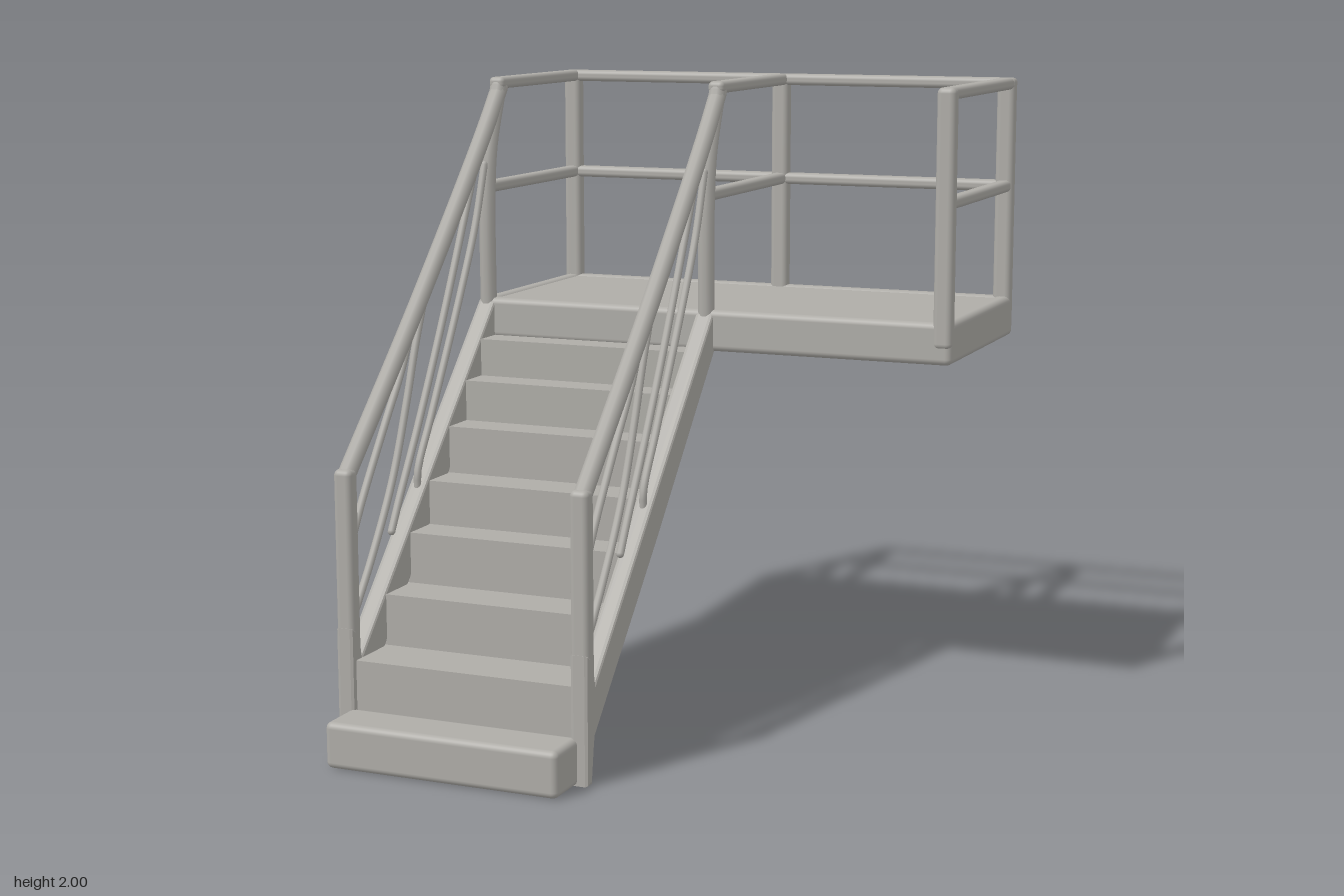
import * as THREE from 'three';
import { RoundedBoxGeometry } from 'three/addons/geometries/RoundedBoxGeometry.js';

export function createModel() {
  const model = new THREE.Group();
  model.name = 'stairsWithLanding';
  const metal = new THREE.MeshStandardMaterial({ color: 0xaeaca7 });
  metal.name = 'warm grey';

  const add = (name, geometry) => {
    const mesh = new THREE.Mesh(geometry, metal);
    mesh.name = name;
    model.add(mesh);
    return mesh;
  };
  // Soft-edged box given by its extents
  const box = (name, x0, x1, y0, y1, z0, z1, r = 0.015) => {
    const g = new RoundedBoxGeometry(x1 - x0, y1 - y0, z1 - z0, 3, r);
    add(name, g).position.set((x0 + x1) / 2, (y0 + y1) / 2, (z0 + z1) / 2);
  };
  // Side profile of [z, y] points, extruded from x0 to x1
  const sideExtrude = (name, points, x0, x1, bevel) => {
    const shape = new THREE.Shape(points.map(([z, y]) => new THREE.Vector2(z, y)));
    const g = new THREE.ExtrudeGeometry(shape, {
      depth: x1 - x0 - 2 * bevel, bevelEnabled: true, bevelSize: bevel,
      bevelThickness: bevel, bevelOffset: -bevel, bevelSegments: 2,
    });
    g.rotateY(-Math.PI / 2);
    g.translate(x1 - bevel, 0, 0);
    add(name, g);
  };
  // Round bar through [z, y] points in the plane at x
  const bar = (name, x, points, r, segments = 24) => {
    const curve = new THREE.CatmullRomCurve3(points.map(([z, y]) => new THREE.Vector3(x, y, z)));
    add(name, new THREE.TubeGeometry(curve, segments, r, 10));
    for (const t of [0, 1]) {
      add(name + 'End', new THREE.SphereGeometry(r, 10, 8)).position.copy(curve.getPoint(t));
    }
  };

  const LEFT = 0.78, MID = -0.005, RIGHT = -0.78, BACK = -0.89, h = 0.03;

  // Landing: a floor plate inside a deeper frame, open underneath
  box('landingFloor', -0.79, 0.79, 1.23, 1.277, -0.89, -0.205, 0.01);
  box('frameBack', -0.81, 0.81, 1.15, 1.283, -0.915, -0.86, 0.02);
  box('frameFront', -0.81, 0.81, 1.15, 1.283, -0.25, -0.19, 0.02);
  for (const x of [-0.81, 0.755]) box('frameSide', x, x + 0.055, 1.15, 1.283, -0.915, -0.19, 0.02);

  // Landing posts
  for (const x of [LEFT, MID, RIGHT]) {
    box('backPost', x - h, x + h, 1.2, 2, BACK - 0.025, BACK + 0.025, 0.018);
  }
  box('frontPost', LEFT - h, LEFT + h, 1.2, 2, -0.237, -0.185, 0.018);

  // Landing rails along the back and the sides
  box('backTopRail', -0.81, 0.81, 1.962, 2, BACK - 0.025, BACK + 0.025);
  box('backMidRail', -0.79, 0.79, 1.628, 1.666, BACK - 0.024, BACK + 0.024);
  for (const x of [LEFT, MID, RIGHT]) {
    const front = x === LEFT ? -0.19 : -0.28;
    box('sideTopRail', x - 0.027, x + 0.027, 1.962, 2, -0.91, front);
    box('sideMidRail', x - 0.024, x + 0.024, 1.628, 1.666, BACK, -0.2);
  }

  // Steps: solid bottom step and a folded sheet above it
  const z = [0.91, 0.76, 0.57, 0.41, 0.28, 0.14, 0.02, -0.09, -0.2];
  const y = [0.15, 0.3, 0.46, 0.62, 0.76, 0.91, 1.04, 1.16, 1.278];
  const t = 0.023;
  const top = [[z[1], 0.1]], under = [[z[1] - t, 0.1]];
  for (let i = 1; i < 8; i++) {
    top.push([z[i], y[i]], [z[i + 1], y[i]]);
    under.push([z[i] - t, y[i] - t], [z[i + 1], y[i] - t], [z[i + 1] - t, y[i]]);
  }
  top.push([z[8], y[8]]);
  under.push([z[8] - t, y[8]]);
  sideExtrude('steps', [...top, ...under.reverse()], -0.77, -0.015, 0.004);
  box('bottomStep', -0.775, -0.012, 0.005, 0.148, 0.75, 0.915, 0.02);

  // Infill bars of the stair railing
  const infill = [
    [[0.73, 0.64], [0.65, 0.77], [0.5, 0.98], [0.39, 1.13], [0.31, 1.28]],
    [[0.73, 0.41], [0.6, 0.58], [0.46, 0.8], [0.36, 1.03], [0.3, 1.19], [0.23, 1.35]],
    [[0.475, 0.635], [0.42, 0.73], [0.29, 0.94], [0.11, 1.26], [-0.15, 1.77]],
    [[0.3, 0.73], [0.3, 0.79], [0.2, 0.96], [-0.01, 1.32], [-0.12, 1.53], [-0.19, 1.72]],
  ];

  for (const x of [RIGHT, MID]) {
    // Sloping side beam with its foot
    sideExtrude('stringer', [
      [0.775, 0.005], [0.743, 0.005], [0.723, 0.145], [0.25, 0.64], [-0.22, 1.155],
      [-0.2, 1.28], [0.72, 0.31], [0.735, 0.4], [0.775, 0.4],
    ], x - h, x + h, 0.012);
    // Posts and handrail
    box('newelPost', x - h, x + h, 0.12, 0.885, 0.72, 0.774, 0.018);
    bar('upperPost', x, [[-0.21, 1.2], [-0.21, 1.62], [-0.23, 1.78], [-0.3, 1.968]], 0.027);
    bar('handrail', x, [[0.746, 0.858], [0.28, 1.32], [-0.18, 1.812], [-0.31, 1.968]], 0.028);
    for (const points of infill) bar('infillBar', x, points, 0.012, 32);
  }

  return model;
}
